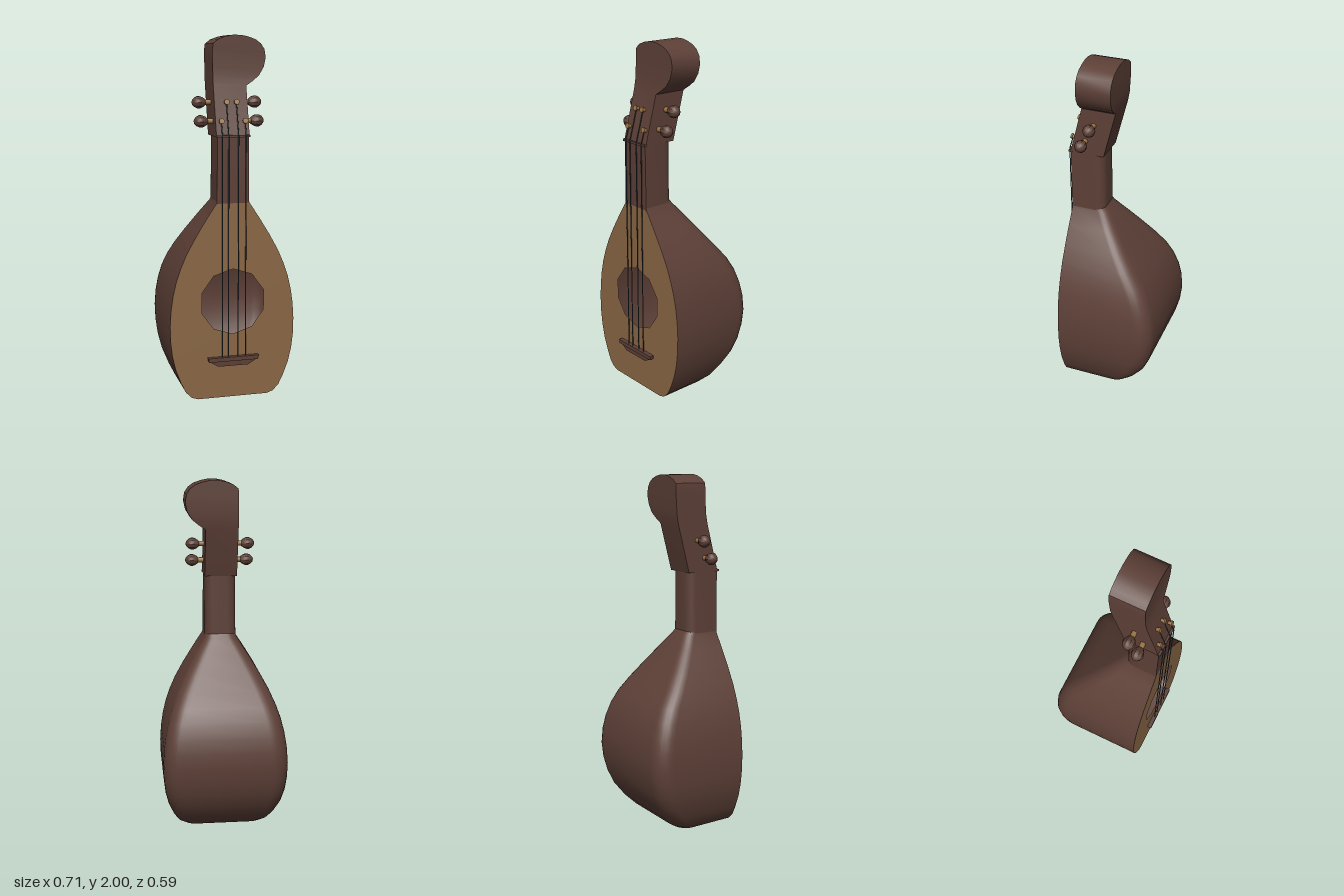
import * as THREE from 'three';
import { toCreasedNormals } from 'three/addons/utils/BufferGeometryUtils.js';

const FRONT = 0.27;

// Skin over horizontal sections (each counter-clockwise seen from above).
function loft(sections, { closed = true, bottom = true, top = true, crease = 0.6 } = {}) {
  const n = sections[0].length, pos = [], idx = [];
  sections.forEach(s => s.forEach(p => pos.push(...p)));
  for (let i = 0; i < sections.length - 1; i++) {
    for (let j = 0; j < (closed ? n : n - 1); j++) {
      const k = (j + 1) % n, a = i * n + j, b = i * n + k;
      idx.push(a, b, a + n, b, b + n, a + n);
    }
  }
  const cap = (row, up) => {
    const c = pos.length / 3, s = sections[row];
    pos.push(...[0, 1, 2].map(k => s.reduce((t, p) => t + p[k], 0) / n));
    for (let j = 0; j < n; j++) {
      const a = row * n + j, b = row * n + (j + 1) % n;
      idx.push(c, up ? a : b, up ? b : a);
    }
  };
  if (bottom) cap(0, false);
  if (top) cap(sections.length - 1, true);
  const g = new THREE.BufferGeometry();
  g.setAttribute('position', new THREE.Float32BufferAttribute(pos, 3));
  g.setIndex(idx);
  return toCreasedNormals(g, crease);
}

// Flat-fronted section with two rounded back corners.
function bowlSection(y, w, back, r) {
  const pts = [[w, y, FRONT]];
  for (const side of [1, -1]) {
    for (let k = 0; k <= 6; k++) {
      const a = (side > 0 ? k : 6 - k) / 6 * Math.PI / 2;
      pts.push([side * (w - r + r * Math.cos(a)), y, back + r - r * Math.sin(a)]);
    }
  }
  pts.push([-w, y, FRONT]);
  return pts;
}

// How far the headstock leans back at height y.
function lean(y) {
  const table = [[1.46, 0], [1.73, 0.072], [1.785, 0.082], [1.88, 0.088], [2.01, 0.089]];
  for (let i = 1; i < table.length; i++) {
    const [y0, s0] = table[i - 1], [y1, s1] = table[i];
    if (y <= y1) return s0 + (s1 - s0) * (y - y0) / (y1 - y0);
  }
  return 0.089;
}

export function createModel() {
  const model = new THREE.Group();
  model.name = 'lute';
  const material = (name, color, side = THREE.FrontSide) => {
    const m = new THREE.MeshStandardMaterial({ color, side });
    m.name = name;
    return m;
  };
  const wood = material('darkWood', 0x5d4037, THREE.DoubleSide);
  const board = material('paleWood', 0x8b6845, THREE.DoubleSide);
  const brass = material('brass', 0x9c7442);
  const steel = material('stringSteel', 0x3c474d);
  const add = (name, geometry, mat, parent = model) => {
    const mesh = new THREE.Mesh(geometry, mat);
    mesh.name = name;
    parent.add(mesh);
    return mesh;
  };

  // Bowl: height, half width, back depth
  const rows = [
    [0, 0.2, -0.03], [0.012, 0.235, -0.065], [0.045, 0.268, -0.115], [0.1, 0.295, -0.17],
    [0.18, 0.325, -0.228], [0.26, 0.343, -0.262], [0.34, 0.352, -0.282], [0.43, 0.354, -0.292],
    [0.52, 0.348, -0.286], [0.6, 0.336, -0.27], [0.68, 0.317, -0.242], [0.75, 0.293, -0.205],
    [0.83, 0.258, -0.145], [0.92, 0.208, -0.075], [1.02, 0.146, 0.002], [1.1, 0.093, 0.062], [1.13, 0.085, 0.085]
  ];
  add('bowl', loft(rows.map(([y, w, b]) => bowlSection(y, w, b, 0.05 + 0.045 * (w - 0.085) / 0.27)),
    { closed: false, top: false, crease: 0.8 }), wood);

  // Soundboard with a ten-sided hole
  const outline = rows.slice(0, -1).map(([y, w]) => new THREE.Vector2(w, y));
  const mirrored = outline.map(p => new THREE.Vector2(-p.x, p.y)).reverse();
  const face = new THREE.Shape([...outline, ...mirrored]);
  const hole = [];
  for (let i = 0; i < 10; i++) {
    const a = Math.PI / 2 - i * Math.PI / 5;
    hole.push(new THREE.Vector2(0.185 * Math.cos(a), 0.55 + 0.185 * Math.sin(a)));
  }
  face.holes.push(new THREE.Path(hole));
  add('soundboard', new THREE.ShapeGeometry(face), board).position.z = FRONT;

  // Neck
  add('neck', loft([[1.1, 0.09], [1.465, 0.087]].map(([y, w]) => bowlSection(y, w, 0.08, 0.05))), wood);

  // Headstock with a scroll to one side: height, left edge, right edge
  const head = [
    [1.46, -0.092, 0.092], [1.73, -0.092, 0.092], [1.755, -0.092, 0.13], [1.785, -0.092, 0.167],
    [1.83, -0.092, 0.194], [1.88, -0.092, 0.205], [1.925, -0.092, 0.198], [1.955, -0.088, 0.178],
    [1.977, -0.06, 0.148], [1.992, -0.02, 0.105], [2, 0.02, 0.065]
  ];
  add('headstock', loft(head.map(([y, l, r]) => {
    const f = FRONT - lean(y), b = 0.076 - lean(y);
    return [[r, y, f], [r, y, b], [l, y, b], [l, y, f]];
  })), wood);

  // Nut
  add('nut', new THREE.BoxGeometry(0.186, 0.012, 0.02), wood).position.set(0, 1.464, 0.27);

  // Bridge: wide saddle over a tapering foot
  const bridgePart = (name, wTop, wBottom, yTop, yBottom, depth) => {
    const s = new THREE.Shape([[wTop, yTop], [-wTop, yTop], [-wBottom, yBottom], [wBottom, yBottom]]
      .map(p => new THREE.Vector2(...p)));
    add(name, new THREE.ExtrudeGeometry(s, { depth, bevelEnabled: false }), wood).position.z = FRONT;
  };
  bridgePart('bridgeSaddle', 0.145, 0.14, 0.238, 0.215, 0.025);
  bridgePart('bridgeFoot', 0.137, 0.085, 0.215, 0.185, 0.016);

  // Strings and their posts
  const tilt = Math.atan(0.072 / 0.27);
  for (const [x, y] of [[-0.063, 1.54], [-0.028, 1.64], [0.027, 1.64], [0.069, 1.54]]) {
    const z = FRONT - lean(y);
    const post = new THREE.Group();
    post.name = 'stringPost';
    post.position.set(x, y, z);
    post.rotation.x = Math.PI / 2 - tilt;
    model.add(post);
    add('postStem', new THREE.CylinderGeometry(0.01, 0.01, 0.02, 10), brass, post).position.y = 0.006;
    add('postCap', new THREE.CylinderGeometry(0.015, 0.015, 0.009, 10), brass, post).position.y = 0.019;
    const path = new THREE.CurvePath();
    const pts = [[x, 0.225, 0.284], [x, 1.468, 0.283], [x, y, z + 0.012]].map(p => new THREE.Vector3(...p));
    for (let i = 0; i < 2; i++) {
      const d = pts[i + 1].clone().sub(pts[i]);
      const s = add('string', new THREE.CylinderGeometry(0.003, 0.003, d.length(), 6), steel);
      s.position.copy(pts[i]).addScaledVector(d, 0.5);
      s.quaternion.setFromUnitVectors(new THREE.Vector3(0, 1, 0), d.normalize());
    }
  }

  // Tuning pegs, two on each side
  const knob = [[0, 0], [0.017, 0.002], [0.027, 0.015], [0.034, 0.031], [0.034, 0.046], [0.026, 0.062], [0.013, 0.073], [0, 0.077]]
    .map(p => new THREE.Vector2(...p));
  for (const side of [1, -1]) {
    for (const [y, z] of [[1.64, 0.13], [1.54, 0.18]]) {
      const peg = new THREE.Group();
      peg.name = side > 0 ? 'leftPeg' : 'rightPeg';
      peg.position.set(side * 0.09, y, z);
      peg.rotation.z = -side * Math.PI / 2;
      model.add(peg);
      add('pegShaft', new THREE.CylinderGeometry(0.015, 0.015, 0.05, 10), brass, peg).position.y = 0.01;
      add('pegKnob', toCreasedNormals(new THREE.LatheGeometry(knob, 10), 0.5), wood, peg).position.y = 0.03;
    }
  }
  return model;
}
